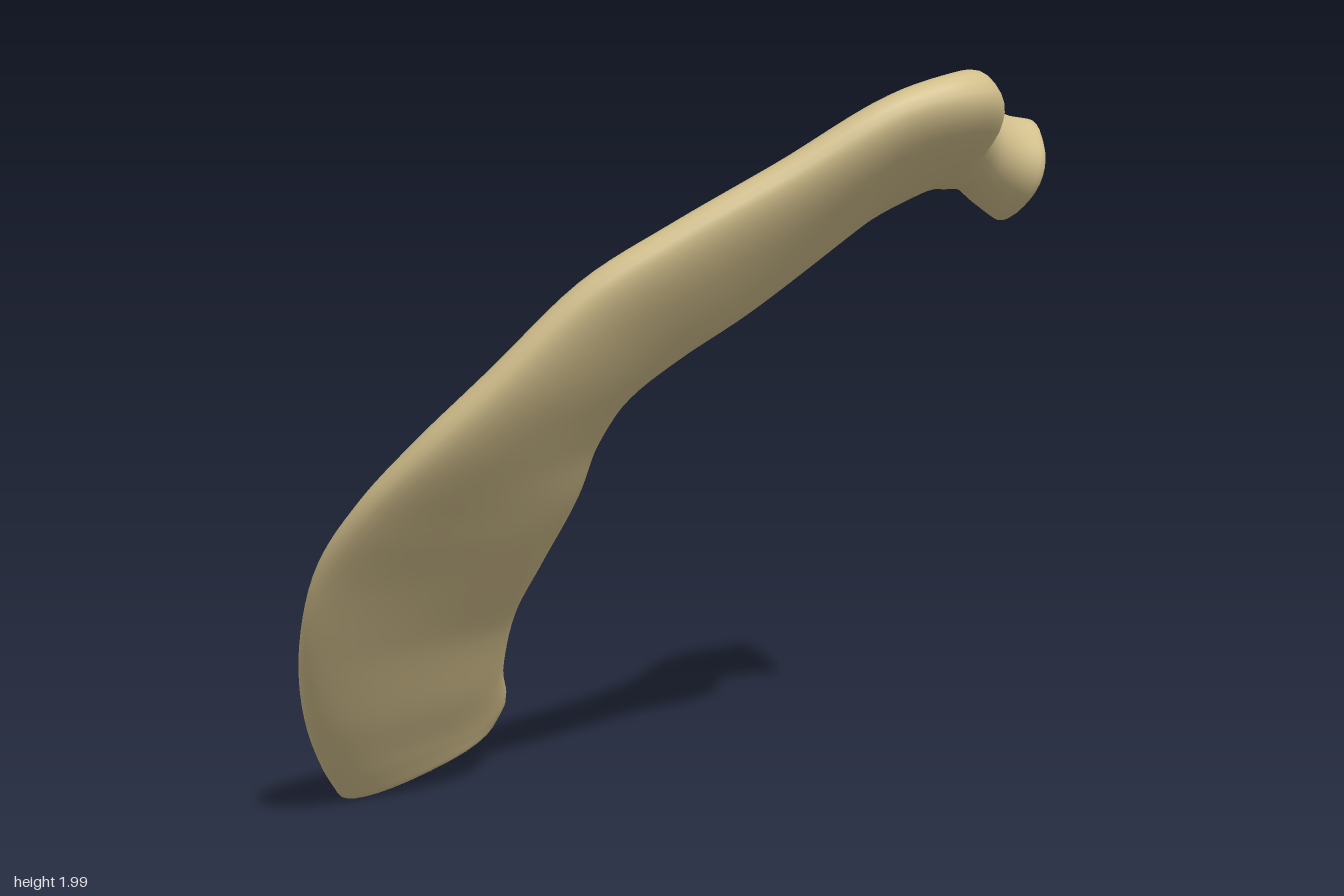
import * as THREE from 'three';
import { toCreasedNormals } from 'three/addons/utils/BufferGeometryUtils.js';

// Stations from the flat front end to the head:
// outer edge, inner edge, thickness at the outer and at the inner side
const STATIONS = [
  [[-0.305, 0.012, -0.81], [0.09, 0.205, -0.605], 0.13, 0.20],
  [[-0.41, 0.13, -0.75], [0.10, 0.25, -0.58], 0.14, 0.20],
  [[-0.555, 0.33, -0.645], [0.00, 0.38, -0.485], 0.14, 0.17],
  [[-0.685, 0.58, -0.50], [-0.08, 0.57, -0.36], 0.13, 0.14],
  [[-0.76, 0.82, -0.345], [-0.14, 0.755, -0.20], 0.13, 0.13],
  [[-0.775, 1.00, -0.185], [-0.18, 0.96, -0.04], 0.13, 0.12],
  [[-0.735, 1.17, -0.015], [-0.205, 1.12, 0.05], 0.14, 0.13],
  [[-0.65, 1.33, 0.13], [-0.19, 1.24, 0.13], 0.14, 0.14],
  [[-0.51, 1.535, 0.285], [-0.12, 1.33, 0.22], 0.14, 0.14],
  [[-0.36, 1.655, 0.415], [0.00, 1.43, 0.32], 0.14, 0.14],
  [[-0.16, 1.79, 0.575], [0.12, 1.535, 0.40], 0.14, 0.14],
  [[0.04, 1.93, 0.74], [0.24, 1.625, 0.45], 0.15, 0.14],
  [[0.20, 1.965, 0.82], [0.33, 1.67, 0.465], 0.18, 0.15],
  [[0.31, 1.955, 0.80], [0.40, 1.70, 0.475], 0.20, 0.17],
  [[0.41, 1.915, 0.69], [0.48, 1.705, 0.495], 0.21, 0.19],
  [[0.52, 1.87, 0.655], [0.57, 1.70, 0.505], 0.20, 0.19],
  [[0.63, 1.815, 0.67], [0.67, 1.66, 0.50], 0.20, 0.20],
  [[0.69, 1.795, 0.70], [0.755, 1.625, 0.50], 0.22, 0.22],
];
const RINGS = 96, SIDES = 32;

const curve = (points) => new THREE.CatmullRomCurve3(points);
const vec = (a) => new THREE.Vector3(...a);

function bodyGeometry() {
  const outer = curve(STATIONS.map((s) => vec(s[0])));
  const inner = curve(STATIONS.map((s) => vec(s[1])));
  const last = STATIONS.length - 1;
  const centre = (t) => outer.getPoint(t).add(inner.getPoint(t)).multiplyScalar(0.5);
  const thickness = (t, column) => {
    const i = Math.min(Math.floor(t * last), last - 1);
    return THREE.MathUtils.lerp(STATIONS[i][column], STATIONS[i + 1][column], t * last - i);
  };

  // Rings along the bone, with smaller rings at each end to round the rim
  const rings = [{ t: 0, scale: 0.76, push: -0.018 }, { t: 0, scale: 0.92, push: -0.01 }];
  for (let i = 0; i <= RINGS; i++) rings.push({ t: i / RINGS, scale: 1, push: 0 });
  rings.push({ t: 1, scale: 0.94, push: 0.01 }, { t: 1, scale: 0.82, push: 0.016 });

  const pos = [], index = [];
  const soften = (v) => Math.sign(v) * Math.abs(v) ** 0.82;
  for (const { t, scale, push } of rings) {
    const c = centre(t);
    const along = centre(Math.min(t + 0.01, 1)).sub(centre(Math.max(t - 0.01, 0))).normalize();
    const w = outer.getPoint(t).sub(c);
    const n = along.clone().cross(w).normalize();
    c.addScaledVector(along, push);
    for (let j = 0; j < SIDES; j++) {
      const a = (j / SIDES) * Math.PI * 2;
      const u = soften(Math.cos(a));
      const half = THREE.MathUtils.lerp(thickness(t, 3), thickness(t, 2), (u + 1) / 2) / 2;
      const p = c.clone()
        .addScaledVector(w, scale * u)
        .addScaledVector(n, scale * half * soften(Math.sin(a)));
      pos.push(p.x, p.y, p.z);
    }
  }
  for (let i = 0; i < rings.length - 1; i++) {
    for (let j = 0; j < SIDES; j++) {
      const a = i * SIDES + j, b = i * SIDES + (j + 1) % SIDES;
      index.push(a, b, a + SIDES, b, b + SIDES, a + SIDES);
    }
  }

  // Flat facets closing both ends
  const end = (rings.length - 1) * SIDES;
  for (let j = 1; j < SIDES - 1; j++) {
    index.push(0, j + 1, j, end, end + j, end + j + 1);
  }

  const geo = new THREE.BufferGeometry();
  geo.setAttribute('position', new THREE.Float32BufferAttribute(pos, 3));
  geo.setIndex(index);
  return toCreasedNormals(geo, 0.9);
}

export function createModel() {
  const group = new THREE.Group();
  group.name = 'rib';
  const bone = new THREE.MeshStandardMaterial({ color: 0xd2bf8c });
  bone.name = 'bone';
  const body = new THREE.Mesh(bodyGeometry(), bone);
  body.name = 'ribBone';
  group.add(body);
  return group;
}
